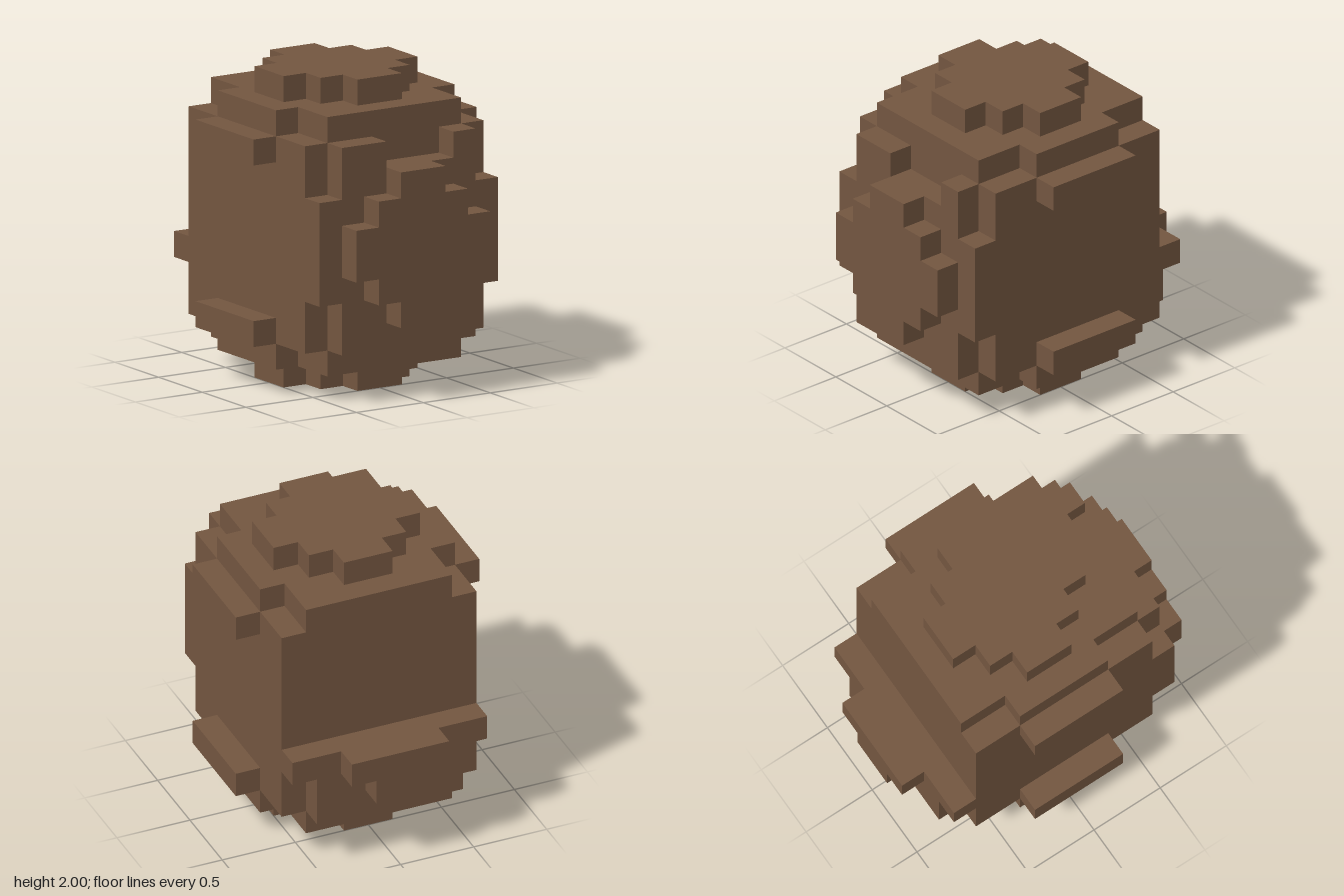
import * as THREE from 'three';

const U = 1 / 6; // edge of one block

// Outline mirrored about the vertical axis, from its right-hand corners (bottom to top).
function mirrored(right) {
  return [...right, ...right.map(([x, y]) => [-x, y]).reverse()];
}

// Stepped slab one block thick, its base on the z = 0 plane.
function slab(points) {
  const shape = new THREE.Shape(points.map(([x, y]) => new THREE.Vector2(x * U, y * U)));
  return new THREE.ExtrudeGeometry(shape, { depth: U, bevelEnabled: false });
}

export function createModel() {
  const model = new THREE.Group();
  model.name = 'blockBarrel';
  const brown = new THREE.MeshStandardMaterial({ color: 0x735640 });
  brown.name = 'brown';

  function add(name, geometry, x = 0, y = 0, z = 0) {
    const mesh = new THREE.Mesh(geometry, brown);
    mesh.name = name;
    mesh.position.set(x * U, y * U, z * U);
    model.add(mesh);
  }

  // Core block
  add('core', new THREE.BoxGeometry(8 * U, 8 * U, 8 * U), 0, 6, 0);

  // Top and bottom: a notched square layer, then a stepped disc
  const notched = mirrored([[3, -4], [3, -2], [4, -2], [4, 2], [3, 2], [3, 4]]);
  const disc = mirrored([[1, -3], [1, -2], [2, -2], [2, -1], [3, -1],
    [3, 1], [2, 1], [2, 2], [1, 2], [1, 3]]);
  const flat = (points) => slab(points).rotateX(-Math.PI / 2);
  add('upperLayer', flat(notched), 0, 10, 0);
  add('topDisc', flat(disc), 0, 11, 0);
  add('lowerLayer', flat(notched), 0, 1, 0);
  add('bottomDisc', flat(disc), 0, 0, 0);

  // Front: layer with a gap in its upper edge, carrying a stepped disc
  const frontLayer = [[-3, 2], [3, 2], [3, 4], [4, 4], [4, 8], [3, 8], [3, 10], [2, 10],
    [2, 9], [-1, 9], [-1, 10], [-3, 10], [-3, 8], [-4, 8], [-4, 4], [-3, 4]];
  add('frontLayer', slab(frontLayer), 0, 0, 4);
  add('frontDisc', slab(disc), 0, 6, 5);

  // Back: only the lower part of the layer and disc remains
  add('backLayer', slab(mirrored([[3, 2], [3, 4], [4, 4], [4, 5]])), 0, 0, -5);
  add('backDisc', slab(mirrored([[1, 3], [1, 4], [2, 4], [2, 5]])), 0, 0, -6);

  // Side rails
  const rail = new THREE.BoxGeometry(U, U, 4 * U);
  for (const [side, x] of [['left', 4.5], ['right', -4.5]]) {
    add(side + 'UpperRail', rail, x, 9.5, 0);
    add(side + 'LowerRail', rail, x, 2.5, 0);
  }

  return model;
}
